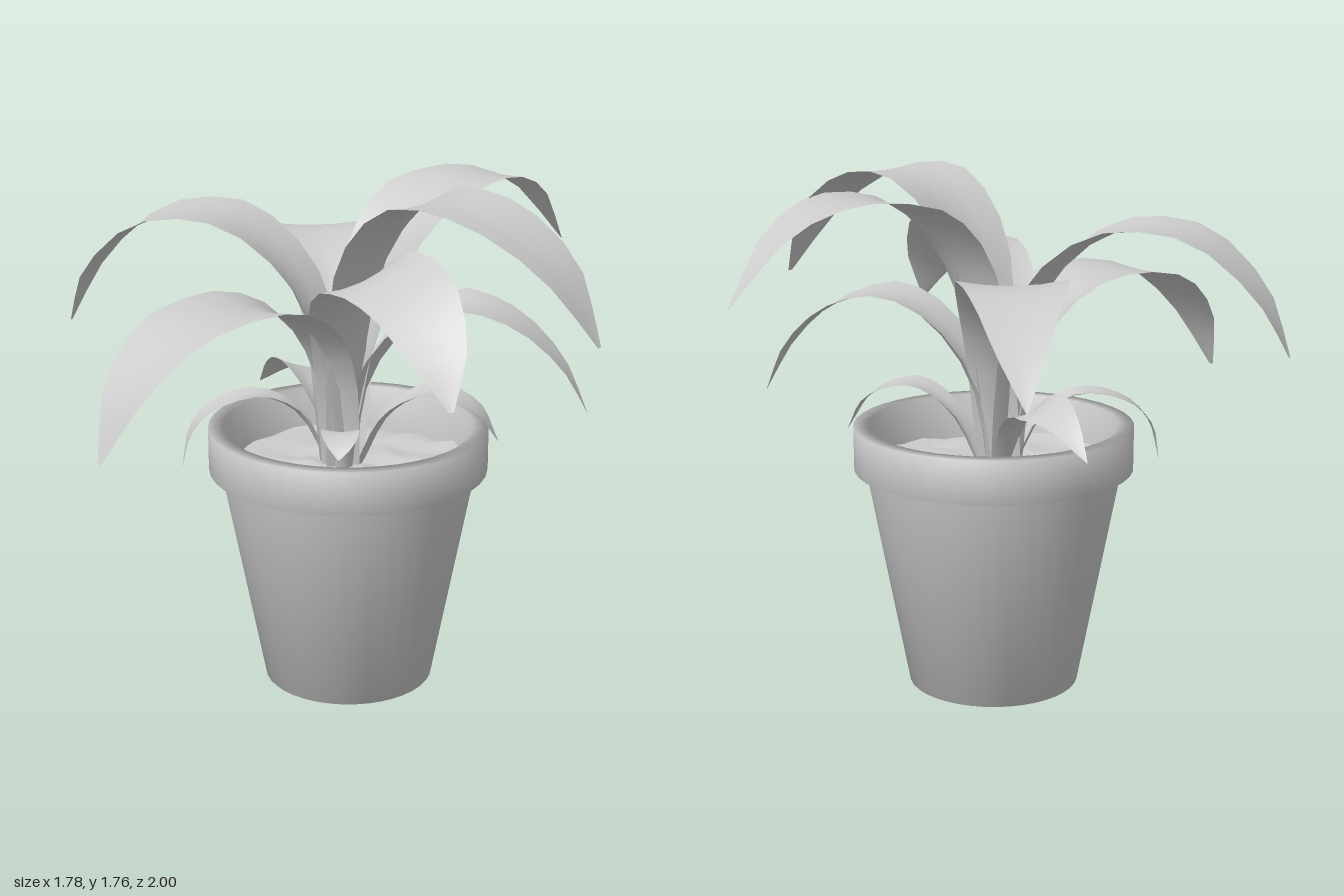
import * as THREE from 'three';

const paleGrey = new THREE.MeshStandardMaterial({ color: 0xcccccc, side: THREE.DoubleSide });
paleGrey.name = 'paleGrey';

// Half width along a leaf, as a share of its widest point
const POINTED = [0.42, 0.62, 0.86, 1, 0.76, 0.43, 0.01];
const ROUNDED = [0.42, 0.62, 0.86, 1, 0.92, 0.62, 0.05];

function outlineAt(outline, t) {
  const f = t * (outline.length - 1);
  const i = Math.min(Math.floor(f), outline.length - 2);
  return THREE.MathUtils.lerp(outline[i], outline[i + 1], f - i);
}

// Arched blade: a strip swept along a spine, channelled at the stem and flat at the tip
function leaf(name, outline, halfWidth, spine, tilt = 0) {
  const curve = new THREE.CatmullRomCurve3(spine.map(p => new THREE.Vector3(...p)));
  const rows = 14, cols = 4;
  const along = curve.getPoint(1).sub(curve.getPoint(0)).setY(0).normalize();
  const across = new THREE.Vector3(0, 1, 0).cross(along);
  const positions = [], index = [];
  for (let i = 0; i <= rows; i++) {
    const t = i / rows;
    const centre = curve.getPoint(t);
    const tangent = curve.getTangent(t);
    const side = across.clone().applyAxisAngle(tangent, tilt * Math.min(1, t * 2));
    const normal = tangent.clone().cross(side).normalize();
    const w = halfWidth * outlineAt(outline, t);
    const cup = w * Math.max(0.06, 0.55 - 0.9 * t);
    for (let j = 0; j <= cols; j++) {
      const u = (j / cols) * 2 - 1;
      const p = centre.clone().addScaledVector(side, u * w).addScaledVector(normal, u * u * cup);
      positions.push(p.x, p.y, p.z);
      if (i < rows && j < cols) {
        const a = i * (cols + 1) + j, c = a + cols + 1;
        index.push(a, c, a + 1, a + 1, c, c + 1);
      }
    }
  }
  const geometry = new THREE.BufferGeometry();
  geometry.setAttribute('position', new THREE.Float32BufferAttribute(positions, 3));
  geometry.setIndex(index);
  geometry.computeVertexNormals();
  const mesh = new THREE.Mesh(geometry, paleGrey);
  mesh.name = name;
  return mesh;
}

function turned(name, profile) {
  const points = profile.map(([r, y]) => new THREE.Vector2(r, y));
  const mesh = new THREE.Mesh(new THREE.LatheGeometry(points, 40), paleGrey);
  mesh.name = name;
  return mesh;
}

// Soil disc with gentle lumps
function soil() {
  const geometry = new THREE.RingGeometry(0.001, 0.425, 28, 6);
  geometry.rotateX(-Math.PI / 2);
  const pos = geometry.attributes.position;
  for (let i = 0; i < pos.count; i++) {
    const x = pos.getX(i), z = pos.getZ(i);
    pos.setY(i, 0.77 + 0.02 * Math.sin(x * 23 + z * 9) * Math.cos(z * 21 - x * 7));
  }
  geometry.computeVertexNormals();
  const mesh = new THREE.Mesh(geometry, paleGrey);
  mesh.name = 'soil';
  return mesh;
}

export function createModel() {
  const model = new THREE.Group();
  model.name = 'pottedPlant';

  // Pot
  const pot = new THREE.Group();
  pot.name = 'pot';
  pot.position.set(-0.015, 0, 0.01);
  pot.add(
    turned('potBody', [[0, 0], [0.295, 0], [0.44, 0.77]]),
    turned('rim', [[0.44, 0.77], [0.48, 0.77], [0.48, 0.92], [0.43, 0.92], [0.42, 0.74]]),
    soil()
  );
  model.add(pot);

  // Tall arching leaves
  const leaves = new THREE.Group();
  leaves.name = 'leaves';
  leaves.add(
    leaf('backLeaf', POINTED, 0.2, [[-0.04, 0.78, 0], [-0.02, 1.22, -0.06], [0.01, 1.52, -0.16],
      [0.02, 1.68, -0.32], [0.02, 1.72, -0.57], [0.01, 1.64, -0.8], [0, 1.42, -1]]),
    leaf('frontLeaf', ROUNDED, 0.19, [[-0.04, 0.78, 0.05], [-0.04, 1.1, 0.1], [-0.035, 1.3, 0.22],
      [-0.035, 1.4, 0.42], [-0.035, 1.37, 0.7], [-0.035, 1.22, 0.89], [-0.04, 1, 1]]),
    leaf('leftLeaf', ROUNDED, 0.2, [[0, 0.78, 0.01], [0.04, 1.25, 0], [0.12, 1.54, -0.01],
      [0.3, 1.73, -0.04], [0.55, 1.73, -0.08], [0.77, 1.58, -0.17], [0.89, 1.35, -0.24]]),
    leaf('rightFrontLeaf', ROUNDED, 0.19, [[-0.07, 0.78, 0.04], [-0.12, 1.2, 0.06], [-0.22, 1.45, 0.12],
      [-0.4, 1.61, 0.23], [-0.6, 1.6, 0.38], [-0.77, 1.42, 0.51], [-0.84, 1.22, 0.58]]),
    leaf('rightBackLeaf', POINTED, 0.18, [[-0.07, 0.78, 0], [-0.12, 1.15, -0.04], [-0.24, 1.38, -0.12],
      [-0.42, 1.48, -0.22], [-0.6, 1.46, -0.34], [-0.76, 1.35, -0.45], [-0.89, 1.21, -0.53]]),
    leaf('leftFrontLeaf', ROUNDED, 0.16, [[0, 0.78, 0.04], [0.03, 1.15, 0.06], [0.12, 1.4, 0.12],
      [0.3, 1.53, 0.17], [0.5, 1.51, 0.2], [0.67, 1.38, 0.24], [0.77, 1.22, 0.27]], 0.35),
    leaf('leftBackLeaf', POINTED, 0.15, [[-0.02, 0.78, -0.02], [0.02, 1.08, -0.06], [0.13, 1.28, -0.15],
      [0.27, 1.36, -0.25], [0.41, 1.31, -0.36], [0.53, 1.17, -0.46], [0.6, 1, -0.52]])
  );

  // Short lower leaves
  leaves.add(
    leaf('smallRightLeaf', POINTED, 0.09, [[-0.08, 0.77, 0], [-0.19, 0.96, -0.01], [-0.33, 1.04, -0.03],
      [-0.46, 1.02, -0.05], [-0.6, 0.92, -0.06]], 0.4),
    leaf('smallFrontLeaf', ROUNDED, 0.06, [[-0.08, 0.77, 0.05], [-0.13, 0.96, 0.14], [-0.2, 1.03, 0.25],
      [-0.28, 1.0, 0.38], [-0.32, 0.92, 0.45], [-0.33, 0.79, 0.485]]),
    leaf('smallBackLeaf', ROUNDED, 0.08, [[0, 0.77, -0.04], [0.08, 0.96, -0.1], [0.2, 1.05, -0.18],
      [0.31, 1.0, -0.28], [0.36, 0.88, -0.34]]),
    leaf('tinyFrontLeaf', ROUNDED, 0.065, [[0.02, 0.77, 0.06], [0.06, 0.91, 0.1], [0.12, 0.96, 0.16],
      [0.18, 0.95, 0.21], [0.22, 0.91, 0.25]])
  );
  model.add(leaves);
  return model;
}
